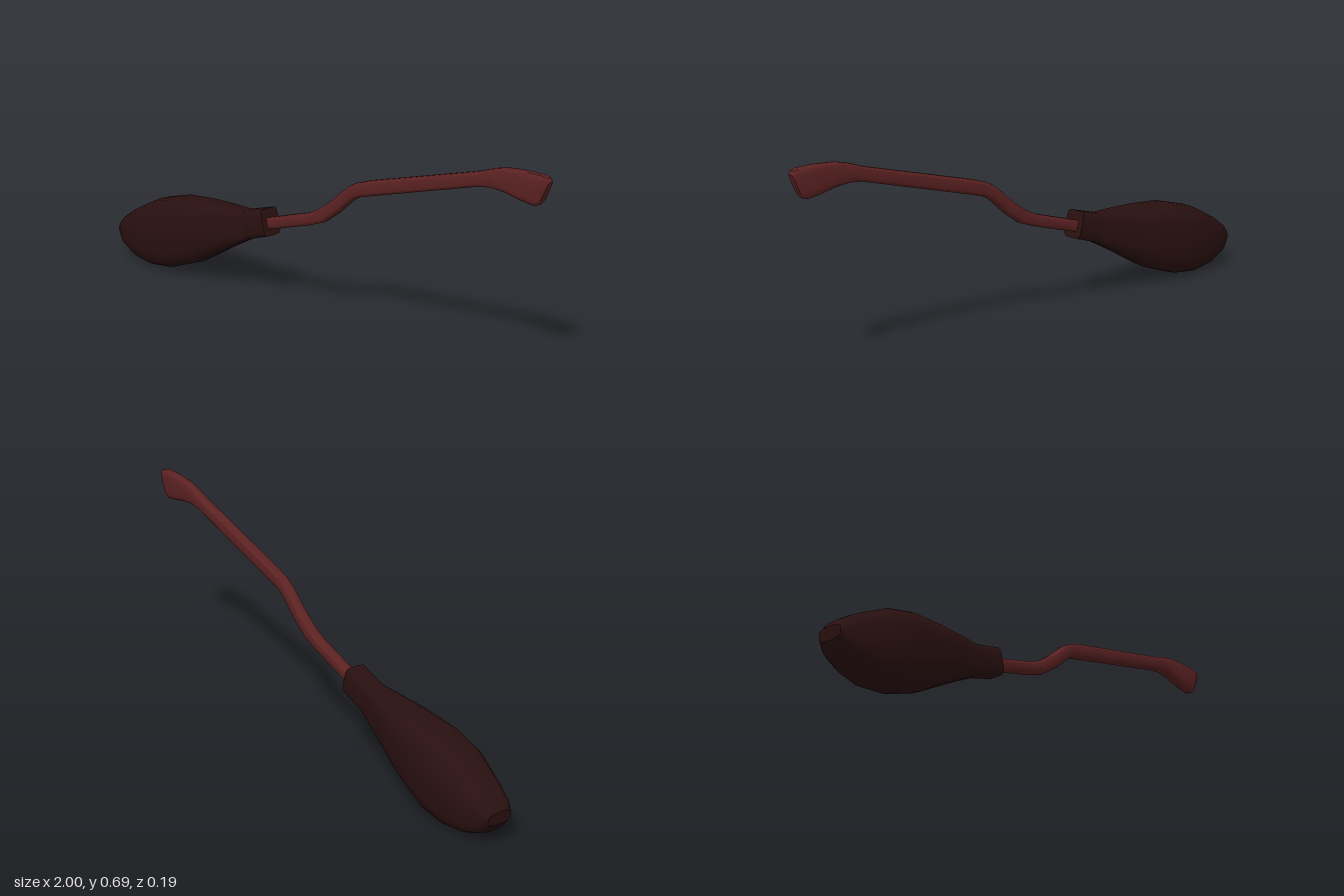
import * as THREE from 'three';
import { toCreasedNormals } from 'three/addons/utils/BufferGeometryUtils.js';

const SIDES = 20;

// Loft along +x. Each station: [topX, topY, bottomX, bottomY, halfWidth, squareness]
function loft(stations, crease) {
  const pos = [];
  const idx = [];
  const round = (c, n) => Math.sign(c) * Math.pow(Math.abs(c), 2 / n);
  for (const [tx, ty, bx, by, w, n] of stations) {
    for (let j = 0; j < SIDES; j++) {
      const a = (j / SIDES) * Math.PI * 2;
      const v = (round(Math.cos(a), n) + 1) / 2;
      pos.push(bx + (tx - bx) * v, by + (ty - by) * v, w * round(Math.sin(a), n));
    }
  }
  const last = stations.length - 1;
  for (let i = 0; i < last; i++) {
    for (let j = 0; j < SIDES; j++) {
      const k = (j + 1) % SIDES;
      const a = i * SIDES + j, b = i * SIDES + k;
      idx.push(a, b, b + SIDES, a, b + SIDES, a + SIDES);
    }
  }
  // flat end caps
  for (let j = 1; j < SIDES - 1; j++) {
    const e = last * SIDES;
    idx.push(0, j + 1, j, e, e + j, e + j + 1);
  }
  const geo = new THREE.BufferGeometry();
  geo.setAttribute('position', new THREE.Float32BufferAttribute(pos, 3));
  geo.setIndex(idx);
  return toCreasedNormals(geo, crease);
}

export function createModel() {
  const group = new THREE.Group();
  const wood = new THREE.MeshStandardMaterial({ color: 0x5c2222 });
  wood.name = 'reddish brown wood';
  const twigs = new THREE.MeshStandardMaterial({ color: 0x2a1010 });
  twigs.name = 'dark brown bristle';

  const add = (name, stations, material, crease) => {
    const mesh = new THREE.Mesh(loft(stations, crease), material);
    mesh.name = name;
    group.add(mesh);
  };

  // Full, swept bristle head
  add('bristles', [
    [-1.0, 0.12, -0.995, 0.075, 0.045, 3],
    [-0.975, 0.15, -0.96, 0.035, 0.062, 3],
    [-0.92, 0.187, -0.89, 0.009, 0.077, 3.2],
    [-0.8, 0.25, -0.8, 0, 0.097, 3.2],
    [-0.69, 0.28, -0.7, 0.012, 0.097, 3.2],
    [-0.55, 0.295, -0.58, 0.055, 0.081, 3.2],
    [-0.44, 0.3, -0.44, 0.135, 0.06, 3.6],
    [-0.345, 0.302, -0.31, 0.205, 0.04, 5],
  ], twigs, 0.6);

  // Square binding where the handle enters
  add('collar', [
    [-0.345, 0.302, -0.31, 0.205, 0.04, 5],
    [-0.235, 0.333, -0.21, 0.238, 0.04, 5],
  ], twigs, 0.6);

  // Bent shaft with a flared grip at the far end
  add('handle', [
    [-0.3, 0.278, -0.29, 0.238, 0.02, 4],
    [-0.03, 0.36, -0.02, 0.318, 0.02, 4],
    [0.02, 0.384, 0.04, 0.34, 0.02, 4],
    [0.08, 0.426, 0.105, 0.385, 0.02, 4],
    [0.16, 0.492, 0.18, 0.45, 0.02, 4],
    [0.195, 0.512, 0.21, 0.466, 0.02, 4],
    [0.25, 0.53, 0.26, 0.48, 0.02, 4],
    [0.72, 0.657, 0.73, 0.61, 0.02, 4],
    [0.77, 0.675, 0.775, 0.615, 0.02, 4],
    [0.82, 0.688, 0.83, 0.611, 0.02, 4],
    [0.9, 0.695, 0.885, 0.6, 0.02, 4],
    [0.975, 0.695, 0.942, 0.592, 0.02, 4],
    [0.992, 0.69, 0.958, 0.597, 0.018, 4],
    [1.0, 0.678, 0.967, 0.606, 0.013, 4],
  ], wood, 0.6);

  return group;
}
